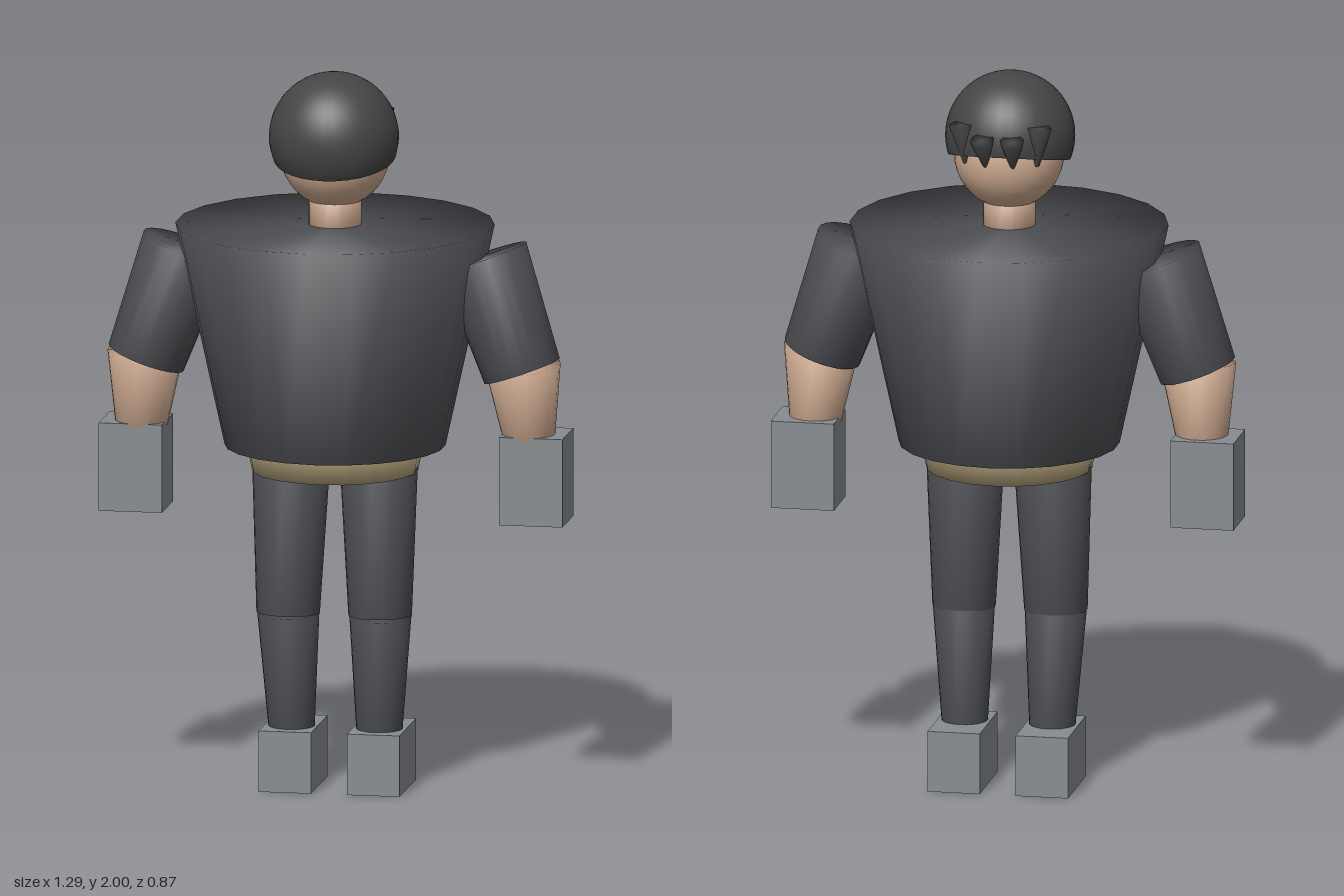
import * as THREE from 'three';
import { mergeVertices } from 'three/addons/utils/BufferGeometryUtils.js';

const mat = (color) => new THREE.MeshStandardMaterial({ color });
const V = (x, y, z) => new THREE.Vector3(x, y, z);

// Weld the rims so that shading rolls over them
function soften(geometry) {
  geometry.deleteAttribute('uv');
  geometry.deleteAttribute('normal');
  const welded = mergeVertices(geometry, 1e-4);
  welded.computeVertexNormals();
  return welded;
}

export function createModel() {
  const model = new THREE.Group();
  const cloth = mat(0x4d4f53);
  const hairMat = mat(0x454545);
  const skin = mat(0xcfab91);
  const belt = mat(0xb3a17a);
  const block = mat(0x888c90);

  function add(name, geometry, material, position) {
    const mesh = new THREE.Mesh(geometry, material);
    mesh.name = name;
    mesh.position.copy(position);
    model.add(mesh);
    return mesh;
  }

  // Tapered limb from point a (radius ra) to point b (radius rb)
  function limb(name, a, ra, b, rb, material, sides = 22) {
    const axis = a.clone().sub(b);
    const geometry = soften(new THREE.CylinderGeometry(ra, rb, axis.length(), sides));
    const mesh = add(name, geometry, material, a.clone().add(b).multiplyScalar(0.5));
    mesh.quaternion.setFromUnitVectors(V(0, 1, 0), axis.normalize());
    return mesh;
  }

  // Body
  limb('torso', V(0, 1.575, 0), 0.437, V(0, 0.96, 0), 0.303, cloth);
  limb('hips', V(0, 1.0, 0), 0.25, V(0, 0.89, 0), 0.228, belt);
  limb('neck', V(0, 1.66, 0), 0.072, V(0, 1.56, 0), 0.072, skin);

  // Head and a tilted cap of hair
  add('head', new THREE.SphereGeometry(0.151, 32, 20), skin, V(0, 1.774, 0));
  const cut = THREE.MathUtils.degToRad(110);
  const R = 0.178;
  const hair = add('hair', new THREE.SphereGeometry(R, 32, 20, 0, Math.PI * 2, 0, cut), hairMat, V(0, 1.822, 0.016));
  hair.rotation.x = 0.227;
  const underside = new THREE.Mesh(new THREE.CircleGeometry(R * Math.sin(cut), 32), hairMat);
  underside.name = 'hairUnderside';
  underside.rotation.x = Math.PI / 2;
  underside.position.y = R * Math.cos(cut);
  hair.add(underside);

  for (const s of [1, -1]) {
    const side = s > 0 ? 'left' : 'right';

    // Flared tufts at the back of the head
    limb(side + 'OuterTuft', V(s * 0.11, 1.88, -0.122), 0.033, V(s * 0.1, 1.77, -0.112), 0.006, hairMat, 16);
    limb(side + 'InnerTuft', V(s * 0.042, 1.85, -0.172), 0.033, V(s * 0.038, 1.77, -0.14), 0.006, hairMat, 16);

    // Arm
    limb(side + 'Sleeve', V(s * 0.412, 1.498, 0), 0.125, V(s * 0.523, 1.185, 0.013), 0.109, cloth);
    limb(side + 'Forearm', V(s * 0.525, 1.2, 0.013), 0.104, V(s * 0.539, 1.0, -0.004), 0.072, skin);
    add(side + 'Hand', new THREE.BoxGeometry(0.176, 0.245, 0.166), block, V(s * 0.557, 0.886, -0.015));

    // Leg
    limb(side + 'Thigh', V(s * 0.122, 0.91, 0), 0.107, V(s * 0.128, 0.49, 0.013), 0.087, cloth);
    limb(side + 'Shin', V(s * 0.128, 0.488, 0.01), 0.085, V(s * 0.122, 0.16, -0.008), 0.063, cloth);
    add(side + 'Foot', new THREE.BoxGeometry(0.146, 0.17, 0.25), block, V(s * 0.123, 0.085, -0.035));
  }
  return model;
}
